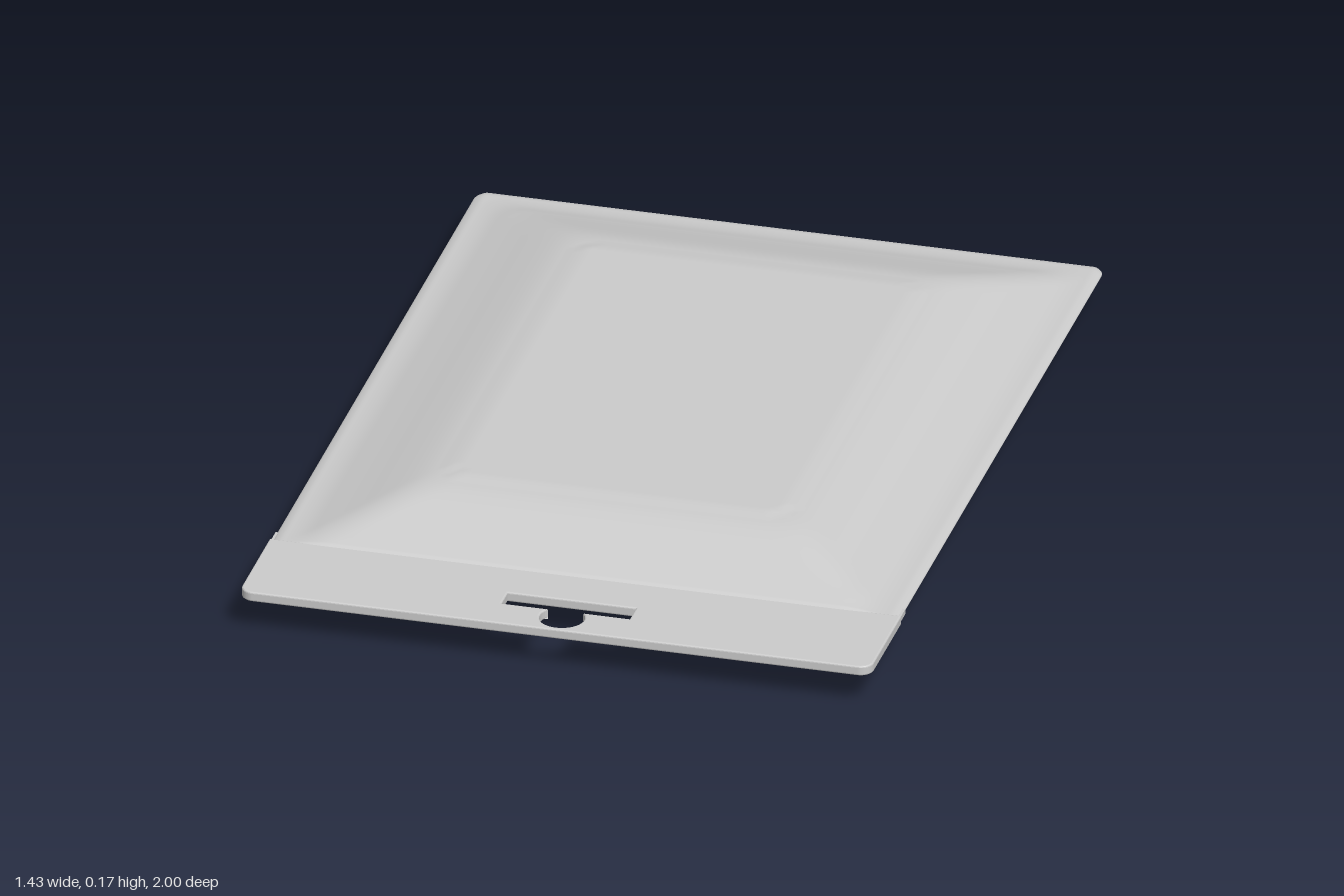
import * as THREE from 'three';

const MID = 0.0875;       // height of the sealed seam
const HALF_W = 0.71;      // half width of the pouch
const BACK = -1, FRONT = 0.765;
const CORNER = 0.035;

const material = new THREE.MeshStandardMaterial({ color: 0xcccccc, side: THREE.DoubleSide });

// Soft minimum, so the slopes meet in a rounded mitre
function softMin(a, b, k) {
  const t = Math.max(k - Math.abs(a - b), 0) / k;
  return Math.min(a, b) - t * t * k * 0.25;
}

// Half thickness of the pouch at a distance from its sealed rim
function swell(d) {
  const t = THREE.MathUtils.clamp((d - 0.03) / 0.3, 0, 1);
  const rise = 0.45 * t + 0.55 * t * t * (3 - 2 * t);
  const ease = THREE.MathUtils.smoothstep(t, 0, 0.25);
  const top = 1 - 0.45 * Math.pow(Math.max(0, (t - 0.75) / 0.25), 2) * 0.12;
  return 0.0785 * Math.min(1, rise * (0.5 + 0.5 * ease) * (t < 1 ? top : 1));
}

// One film of the pouch: a grid, finer towards the rim, lifted by the swell
function makeFilm(sign) {
  const g = new THREE.PlaneGeometry(2, 2, 90, 110);
  const p = g.attributes.position;
  for (let i = 0; i < p.count; i++) {
    const u = Math.sin(p.getX(i) * Math.PI / 2);
    const v = Math.sin(p.getY(i) * Math.PI / 2);
    const z = THREE.MathUtils.lerp(FRONT, BACK, (v + 1) / 2);
    const back = z - BACK;
    // rounded rear corners
    const c = Math.max(0, CORNER - back);
    const w = HALF_W - CORNER + Math.sqrt(Math.max(0, CORNER * CORNER - c * c));
    const x = u * w;
    const side = w - Math.abs(x);
    const rim = Math.max(0, Math.min(side, back));
    const d = softMin(side, softMin(back, 0.82 - z, 0.06), 0.06);
    const seam = 0.009 * Math.sqrt(Math.min(1, rim / 0.02));
    let h = seam + swell(d);
    if (z > 0.745) h = Math.min(h, 0.009);
    p.setXYZ(i, x, MID + sign * h, z);
  }
  if (sign < 0) {
    const ix = g.index;
    for (let i = 0; i < ix.count; i += 3) {
      const a = ix.getX(i);
      ix.setX(i, ix.getX(i + 1));
      ix.setX(i + 1, a);
    }
  }
  g.computeVertexNormals();
  return new THREE.Mesh(g, material);
}

// Card header with rounded front corners and a hanging slot
function makeHeader() {
  const w = 0.714, r = 0.03, back = -0.74, front = -1;
  const s = new THREE.Shape();
  s.moveTo(-w, back);
  s.lineTo(-w, front + r);
  s.absarc(-w + r, front + r, r, Math.PI, Math.PI * 1.5, false);
  s.absarc(w - r, front + r, r, Math.PI * 1.5, Math.PI * 2, false);
  s.lineTo(w, back);
  s.closePath();

  const slot = new THREE.Path();
  slot.moveTo(-0.145, -0.908);
  slot.lineTo(-0.04, -0.908);
  slot.absarc(0, -0.938, 0.05, 2.498, 6.927, false);
  slot.lineTo(0.145, -0.908);
  slot.lineTo(0.145, -0.855);
  slot.lineTo(-0.145, -0.855);
  slot.closePath();
  s.holes.push(slot);

  const bevel = 0.004;
  const g = new THREE.ExtrudeGeometry(s, {
    depth: 0.015, bevelEnabled: true, bevelThickness: bevel, bevelSize: bevel,
    bevelOffset: -bevel, bevelSegments: 3, curveSegments: 12,
  });
  g.translate(0, 0, -0.0075);
  g.rotateX(-Math.PI / 2);
  g.translate(0, MID, 0);
  return new THREE.Mesh(g, material);
}

export function createModel() {
  const model = new THREE.Group();
  model.name = 'hangingPouch';

  const pouch = new THREE.Group();
  pouch.name = 'pouch';
  const top = makeFilm(1);
  top.name = 'topFilm';
  const bottom = makeFilm(-1);
  bottom.name = 'bottomFilm';
  pouch.add(top, bottom);

  const header = makeHeader();
  header.name = 'header';
  model.add(pouch, header);

  // small lips of the seal beside the header
  for (const side of [-1, 1]) {
    const lip = new THREE.Mesh(new THREE.BoxGeometry(0.006, 0.012, 0.05), material);
    lip.position.set(side * 0.709, MID, 0.722);
    lip.name = side > 0 ? 'leftSealLip' : 'rightSealLip';
    model.add(lip);
  }
  return model;
}
